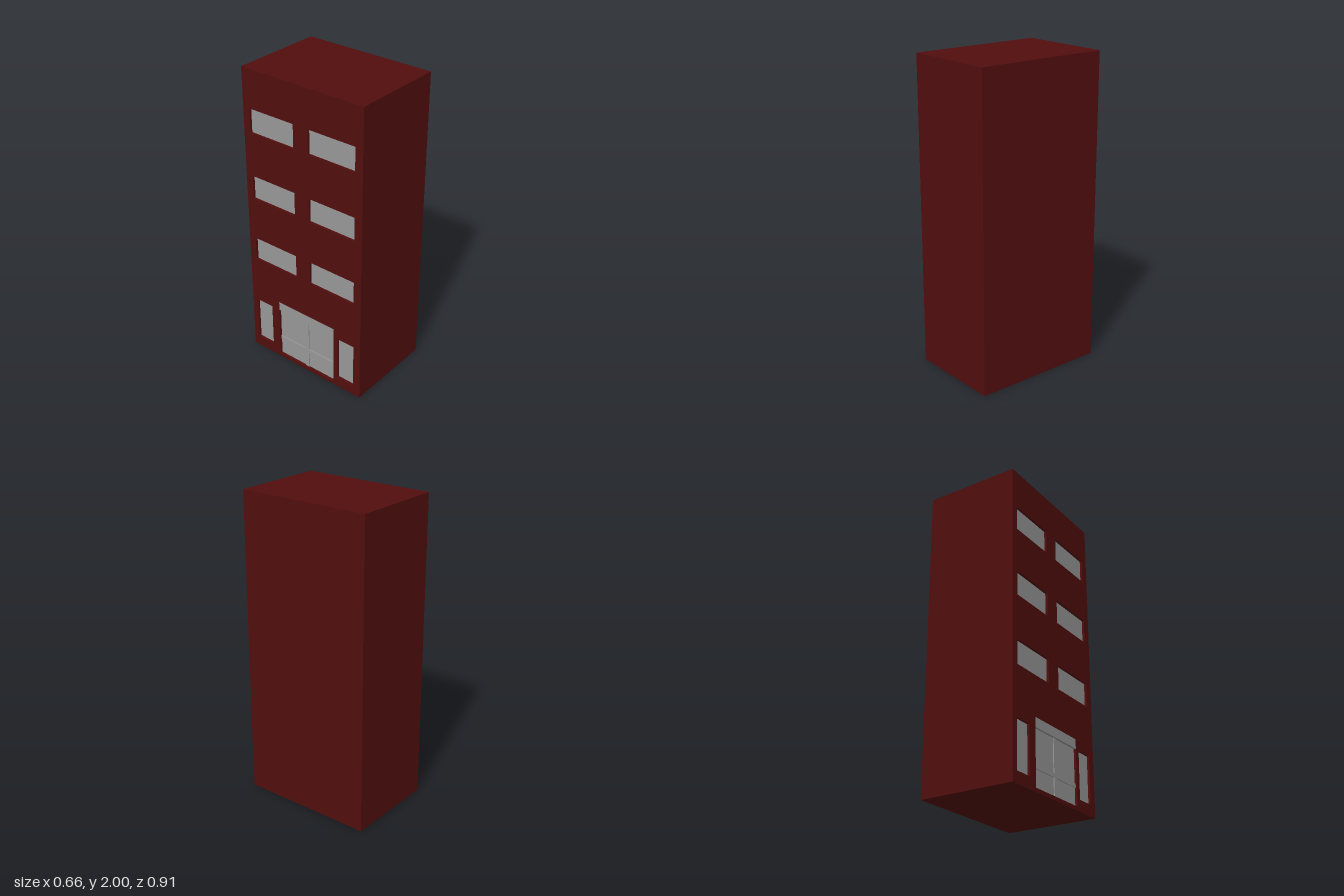
import * as THREE from 'three';

const WIDTH = 0.62, HEIGHT = 2, DEPTH = 0.889, RECESS = 0.018;

export function createModel() {
  const brick = new THREE.MeshStandardMaterial({ color: 0x520e0e });
  brick.name = 'dark red brick';
  const grey = new THREE.MeshStandardMaterial({ color: 0x989898 });
  grey.name = 'grey glass';

  const model = new THREE.Group();
  model.name = 'building';

  // Solid block behind the facade
  const core = new THREE.Mesh(new THREE.BoxGeometry(WIDTH - RECESS, HEIGHT, DEPTH), brick);
  core.name = 'mainBlock';
  core.position.set(RECESS / 2, HEIGHT / 2, 0);
  model.add(core);

  // Facade on the -x side: local x runs along the wall, local z points outwards
  const facade = new THREE.Group();
  facade.name = 'facade';
  facade.rotation.y = -Math.PI / 2;
  facade.position.set(-WIDTH / 2 + RECESS, 0, -DEPTH / 2);
  model.add(facade);

  // Openings as [left, right, bottom, top]
  const windows = [];
  for (const sill of [0.7, 1.145, 1.592]) {
    windows.push([0.05, 0.385, sill, sill + 0.158], [0.495, 0.835, sill, sill + 0.158]);
  }
  const sideLights = [[0.042, 0.168, 0.073, 0.378], [0.712, 0.838, 0.073, 0.378]];
  const door = [0.23, 0.68, 0.025, 0.44];

  // Wall with the openings cut through it
  const rectangle = (path, [l, r, b, t]) =>
    path.moveTo(l, b).lineTo(r, b).lineTo(r, t).lineTo(l, t).closePath();
  const outline = rectangle(new THREE.Shape(), [0, DEPTH, 0, HEIGHT]);
  for (const opening of [...windows, ...sideLights, door]) {
    outline.holes.push(rectangle(new THREE.Path(), opening));
  }
  const wall = new THREE.Mesh(
    new THREE.ExtrudeGeometry(outline, { depth: RECESS, bevelEnabled: false }), brick);
  wall.name = 'facadeWall';
  facade.add(wall);

  const addPanel = (name, [l, r, b, t], thickness) => {
    const panel = new THREE.Mesh(new THREE.BoxGeometry(r - l, t - b, thickness), grey);
    panel.name = name;
    panel.position.set((l + r) / 2, (b + t) / 2, thickness / 2);
    facade.add(panel);
  };

  // Recessed glazing
  windows.forEach((w) => addPanel('window', w, 0.003));
  sideLights.forEach((w) => addPanel('sideLight', w, 0.003));

  // Double door with lintel, rail and meeting stile
  const [l, r, b, t] = door, mid = (l + r) / 2, head = t - 0.06;
  addPanel('doorLeaf', [l, mid, b, head], 0.003);
  addPanel('doorLeaf', [mid, r, b, head], 0.003);
  addPanel('doorLintel', [l, r, head, t], RECESS);
  addPanel('doorRail', [l, r, 0.14, 0.165], 0.01);
  addPanel('doorStile', [mid - 0.014, mid + 0.014, b, head], 0.009);

  // The building stands slightly turned on its plot
  model.rotation.y = -0.04;
  return model;
}
